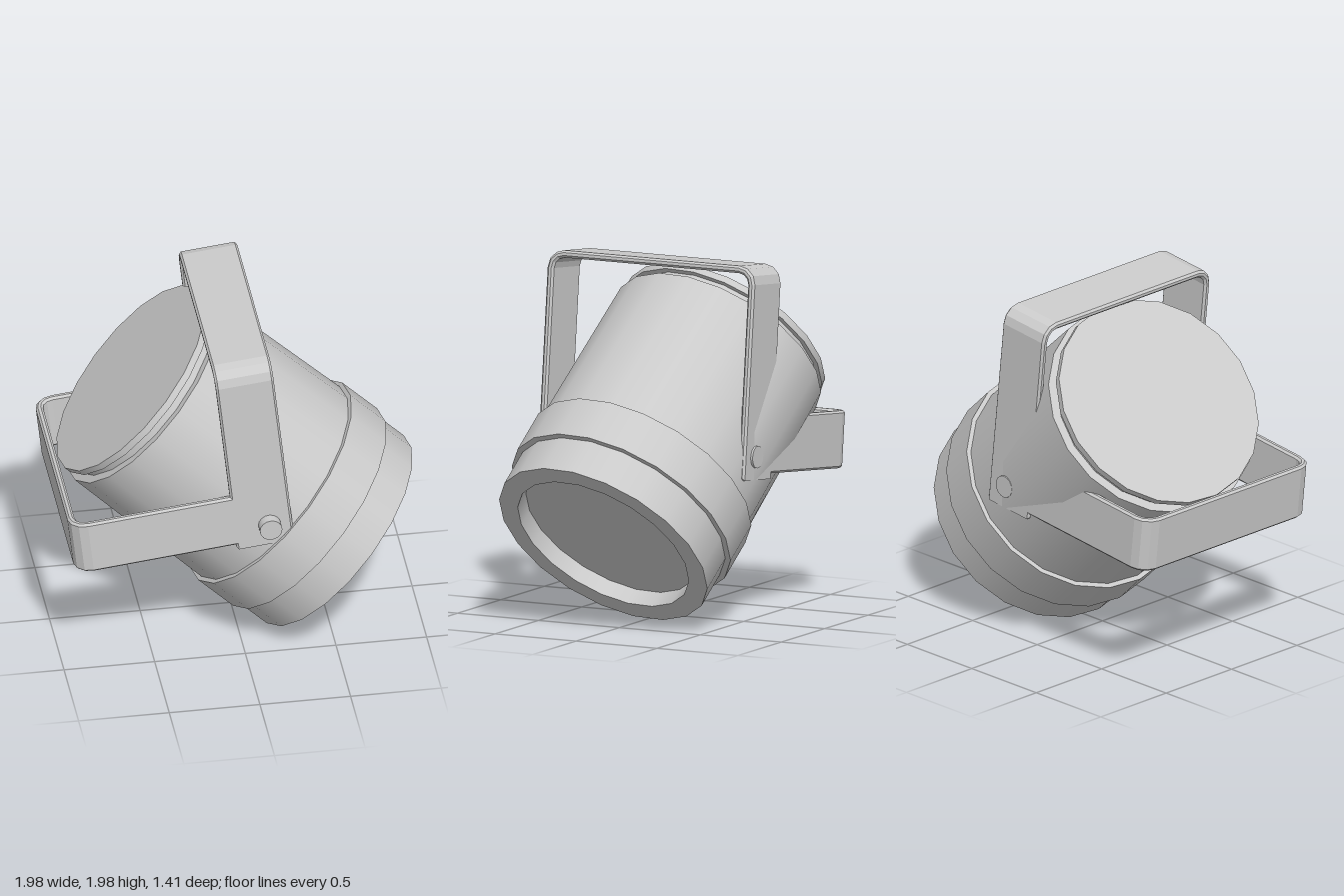
import * as THREE from 'three';
import { mergeGeometries } from 'three/addons/utils/BufferGeometryUtils.js';

const grey = new THREE.MeshStandardMaterial({ color: 0xcccccc });
const SIDES = 20;

// Lathe whose sides are smooth but whose profile corners stay sharp
function sharpLathe(name, profile) {
  const pieces = [];
  for (let i = 0; i < profile.length - 1; i++) {
    const pair = [profile[i], profile[i + 1]].map(([r, y]) => new THREE.Vector2(r, y));
    pieces.push(new THREE.LatheGeometry(pair, SIDES));
  }
  const mesh = new THREE.Mesh(mergeGeometries(pieces), grey);
  mesh.name = name;
  return mesh;
}

// U-shaped strap with rounded corners; legs run down from the crossbar
function makeBracket(name, length, width) {
  const half = 0.64, thick = 0.04, bevel = 0.012;
  const corner = (cx, cy, r, a0, a1) => [0, 1, 2, 3].map(i => {
    const a = a0 + (a1 - a0) * i / 3;
    return new THREE.Vector2(cx + r * Math.cos(a), cy + r * Math.sin(a));
  });
  const R = 0.1 - bevel, o = half - bevel, i = half - thick + bevel;
  const top = length - bevel, inTop = length - thick + bevel, r = R - (o - i);
  const shape = new THREE.Shape([
    new THREE.Vector2(o, bevel),
    ...corner(o - R, top - R, R, 0, Math.PI / 2),
    ...corner(-o + R, top - R, R, Math.PI / 2, Math.PI),
    new THREE.Vector2(-o, bevel),
    new THREE.Vector2(-i, bevel),
    ...corner(-i + r, inTop - r, r, Math.PI, Math.PI / 2),
    ...corner(i - r, inTop - r, r, Math.PI / 2, 0),
    new THREE.Vector2(i, bevel)
  ]);
  const depth = width - 2 * bevel;
  const geo = new THREE.ExtrudeGeometry(shape, {
    depth, bevelEnabled: true, bevelSize: bevel, bevelThickness: bevel, bevelSegments: 1
  });
  geo.translate(0, 0, -depth / 2);
  geo.rotateY(-Math.PI / 2);
  const mesh = new THREE.Mesh(geo, grey);
  mesh.name = name;
  return mesh;
}

export function createModel() {
  const model = new THREE.Group();
  model.name = 'spotlight';

  // Lamp housing, built along +y with its front rim at y = 0
  const lamp = new THREE.Group();
  lamp.name = 'lamp';
  lamp.add(
    sharpLathe('rearCap', [[0, -1.5], [0.605, -1.5], [0.605, -1.46], [0.575, -1.46], [0.575, -1.4]]),
    sharpLathe('housing', [[0.57, -1.41], [0.625, -1.41], [0.64, -0.46]]),
    sharpLathe('collar', [[0.62, -0.475], [0.665, -0.475], [0.665, -0.22], [0.62, -0.22]]),
    sharpLathe('frontRing', [[0.633, -0.23], [0.633, 0], [0.52, 0], [0.52, -0.1]]),
    sharpLathe('lens', [[0.52, -0.1], [0, -0.1]])
  );
  const axis = new THREE.Vector3(0.735, -0.668, 0.11).normalize();
  lamp.quaternion.setFromUnitVectors(new THREE.Vector3(0, 1, 0), axis);
  lamp.position.set(0.565, 0.48, 0.065);
  model.add(lamp);

  // Hanging bracket and floor bracket, at right angles
  const hanging = makeBracket('hangingBracket', 1.168, 0.32);
  hanging.position.set(0.09, 0.82, 0.005);
  hanging.rotation.z = 0.108;
  const floor = makeBracket('floorBracket', 1.18, 0.315);
  floor.position.set(0.2, 1.02, 0.005);
  floor.rotation.z = Math.PI / 2 + 0.112;
  model.add(hanging, floor);

  // Pivot bolt through both brackets
  const bolt = new THREE.Mesh(new THREE.CylinderGeometry(0.062, 0.062, 1.35, 16), grey);
  bolt.name = 'pivotBolt';
  bolt.rotation.x = Math.PI / 2;
  bolt.position.set(0.11, 0.95, 0.028);
  model.add(bolt);

  return model;
}
